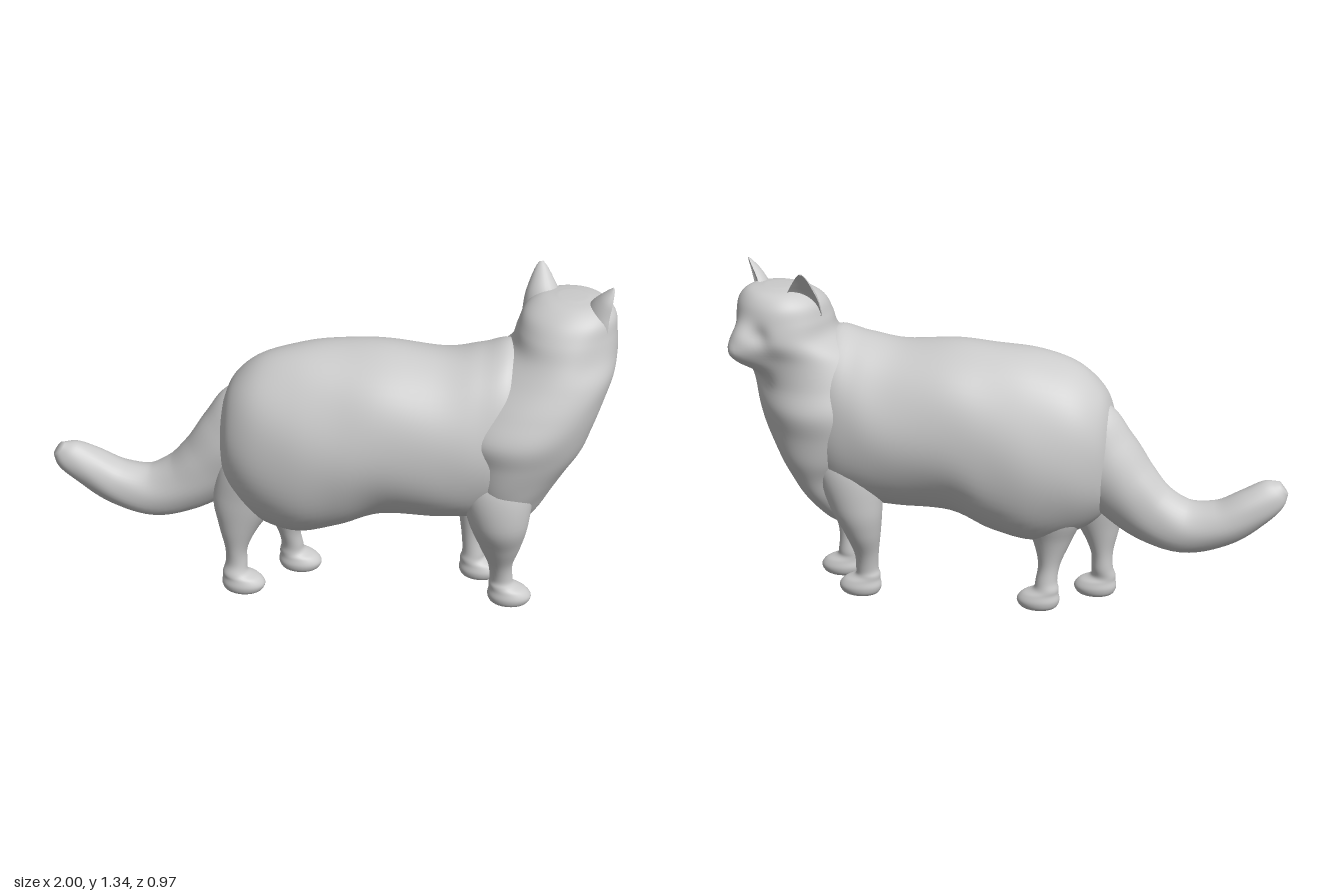
import * as THREE from 'three';

const V = (x, y, z) => new THREE.Vector3(x, y, z);
const FORWARD = V(0.947, 0, -0.322); // direction of the spine
const SIDE = V(0.322, 0, 0.947);     // across the body
const UP = V(0, 1, 0);
const DOWN = V(0, -1, 0);
const material = new THREE.MeshStandardMaterial({ color: 0xcccccc, side: THREE.DoubleSide });

function add(group, name, geometry) {
  const mesh = new THREE.Mesh(geometry, material);
  mesh.name = name;
  group.add(mesh);
}

// Smooth closed skin through elliptical rings [x, y, z, radiusA, radiusB].
// across: direction of radiusA; axis: fixed ring normal (else the path tangent);
// dent: hollows one side; fur: gentle unevenness; bumps: [centre, push, reach].
function loft(rings, across, { axis, dent = 0, fur = 0, bumps = [], sides = 40, steps = 6 } = {}) {
  const path = new THREE.CatmullRomCurve3(rings.map(r => V(r[0], r[1], r[2])), false, 'catmullrom');
  const radii = new THREE.CatmullRomCurve3(rings.map(r => V(r[3], r[4], 0)), false, 'catmullrom');
  const n = (rings.length - 1) * steps;
  const positions = [], index = [];
  for (let k = -1; k <= n + 1; k++) {
    const t = Math.min(Math.max(k / n, 0), 1);
    const cap = k < 0 || k > n ? 0 : 1;
    const c = path.getPoint(t), r = radii.getPoint(t);
    const T = axis ?? path.getTangent(t);
    const B = T.clone().cross(across).normalize();
    const A = B.clone().cross(T).normalize();
    for (let j = 0; j < sides; j++) {
      const q = j / sides * Math.PI * 2, s = Math.sin(q);
      const wave = cap * (1 + fur * (Math.sin(3 * q + 17 * t) + 0.6 * Math.sin(7 * q - 23 * t)));
      const a = Math.max(r.x, 0) * wave;
      const b = Math.max(r.y, 0) * wave * (s > 0 ? 1 - dent : 1);
      const p = c.clone().addScaledVector(A, a * Math.cos(q)).addScaledVector(B, b * s);
      for (const [centre, push, reach] of bumps) {
        p.addScaledVector(push, Math.exp(-p.distanceToSquared(centre) / (reach * reach)));
      }
      positions.push(p.x, p.y, p.z);
    }
  }
  for (let i = 0; i < n + 2; i++) {
    for (let j = 0; j < sides; j++) {
      const a = i * sides + j, b = i * sides + (j + 1) % sides;
      index.push(a, b, a + sides, b, b + sides, a + sides);
    }
  }
  const g = new THREE.BufferGeometry();
  g.setAttribute('position', new THREE.Float32BufferAttribute(positions, 3));
  g.setIndex(index);
  g.computeVertexNormals();
  return g;
}

// Paw rings below the ankle: height, forward shift, half width, half length
const PAW = [
  [0.088, -0.03, 0.048, 0.05], [0.066, -0.008, 0.055, 0.072], [0.04, 0, 0.061, 0.084],
  [0.016, 0, 0.055, 0.076], [0.003, 0, 0.04, 0.058], [0, 0, 0.02, 0.03]
];

function leg(rings, [x, y, z]) {
  const paw = PAW.map(([h, f, a, b]) => [x + f * FORWARD.x, y + h, z + f * FORWARD.z, a, b]);
  return loft([...rings, ...paw], SIDE, { axis: DOWN, sides: 32 });
}

export function createModel() {
  const cat = new THREE.Group();
  cat.name = 'cat';

  // Trunk: x, centre height, half width, half height along the spine
  const trunk = [
    [-0.385, 0.64, 0.04, 0.06], [-0.37, 0.64, 0.11, 0.17], [-0.33, 0.645, 0.18, 0.26],
    [-0.24, 0.65, 0.24, 0.335], [-0.1, 0.65, 0.28, 0.38], [0.05, 0.68, 0.29, 0.37],
    [0.2, 0.72, 0.29, 0.34], [0.4, 0.71, 0.285, 0.33], [0.53, 0.725, 0.27, 0.34],
    [0.64, 0.74, 0.235, 0.35], [0.74, 0.74, 0.16, 0.24], [0.8, 0.74, 0.05, 0.08]
  ].map(([x, y, a, b]) => [x, y, 0.1 - 0.36 * x, a, b]);
  add(cat, 'body', loft(trunk, SIDE, { axis: FORWARD, fur: 0.008, sides: 64 }));

  // Chest, ruff and skull in level rings, with muzzle, brow, cheeks and eye hollows
  add(cat, 'chestAndHead', loft([
    [0.6, 0.28, -0.11, 0.02, 0.05], [0.615, 0.34, -0.11, 0.07, 0.13], [0.64, 0.43, -0.12, 0.12, 0.19],
    [0.655, 0.52, -0.125, 0.155, 0.225], [0.66, 0.6, -0.13, 0.195, 0.25], [0.67, 0.7, -0.13, 0.24, 0.265],
    [0.68, 0.8, -0.13, 0.262, 0.28], [0.71, 0.9, -0.145, 0.262, 0.245], [0.755, 1.0, -0.185, 0.24, 0.215],
    [0.79, 1.08, -0.23, 0.195, 0.21], [0.795, 1.15, -0.24, 0.18, 0.19], [0.8, 1.21, -0.25, 0.165, 0.16],
    [0.805, 1.25, -0.26, 0.12, 0.11], [0.805, 1.263, -0.26, 0.05, 0.045]
  ], V(1, 0, 0), {
    axis: UP, fur: 0.007, sides: 80, bumps: [
      [V(0.865, 1.02, -0.4), V(0.02, 0, -0.085), 0.075],
      [V(0.85, 1.1, -0.43), V(0.004, 0, -0.018), 0.05],
      [V(0.78, 1.1, -0.44), V(0.004, 0, 0.02), 0.04],
      [V(0.93, 1.09, -0.38), V(-0.012, 0, 0.02), 0.04],
      [V(0.84, 0.93, -0.37), V(-0.005, 0, 0.02), 0.06]
    ]
  }));

  // Ears, hollowed towards the face
  add(cat, 'leftEar', loft([
    [0.91, 1.17, -0.24, 0.075, 0.06], [0.925, 1.23, -0.235, 0.06, 0.05],
    [0.945, 1.28, -0.23, 0.04, 0.034], [0.96, 1.318, -0.23, 0.018, 0.015], [0.966, 1.335, -0.23, 0.005, 0.004]
  ], V(0.75, 0, 0.66), { dent: 1.4, sides: 24 }));
  add(cat, 'rightEar', loft([
    [0.685, 1.17, -0.28, 0.075, 0.055], [0.675, 1.23, -0.295, 0.063, 0.05],
    [0.664, 1.28, -0.312, 0.042, 0.034], [0.656, 1.318, -0.325, 0.022, 0.016], [0.652, 1.337, -0.332, 0.007, 0.005]
  ], V(0.95, 0, -0.3), { dent: 1.4, sides: 24 }));

  // Tail, sweeping down and curling up to the tip
  add(cat, 'tail', loft([
    [-0.16, 0.8, 0.14, 0.04, 0.06], [-0.24, 0.73, 0.17, 0.11, 0.165], [-0.335, 0.62, 0.2, 0.125, 0.16],
    [-0.43, 0.51, 0.23, 0.115, 0.14], [-0.53, 0.42, 0.265, 0.105, 0.12], [-0.65, 0.37, 0.305, 0.1, 0.105],
    [-0.78, 0.395, 0.35, 0.09, 0.09], [-0.88, 0.46, 0.395, 0.075, 0.08], [-0.95, 0.515, 0.435, 0.055, 0.065],
    [-0.985, 0.545, 0.455, 0.025, 0.03]
  ], SIDE, { fur: 0.012 }));

  // Legs, from inside the trunk down to the paws
  add(cat, 'leftBackLeg', leg([
    [-0.15, 0.72, 0.1, 0.03, 0.04], [-0.17, 0.6, 0.08, 0.1, 0.14], [-0.185, 0.42, 0.085, 0.095, 0.13],
    [-0.185, 0.3, 0.1, 0.075, 0.08], [-0.18, 0.2, 0.09, 0.052, 0.045], [-0.175, 0.13, 0.075, 0.045, 0.042]
  ], [-0.147, 0.005, 0.06]));
  add(cat, 'rightBackLeg', leg([
    [-0.17, 0.74, 0.19, 0.03, 0.04], [-0.2, 0.61, 0.23, 0.11, 0.15], [-0.26, 0.43, 0.265, 0.092, 0.135],
    [-0.293, 0.3, 0.285, 0.07, 0.08], [-0.305, 0.2, 0.29, 0.052, 0.045], [-0.307, 0.13, 0.29, 0.046, 0.042]
  ], [-0.278, 0.001, 0.29]));
  add(cat, 'leftFrontLeg', leg([
    [0.56, 0.74, -0.2, 0.03, 0.04], [0.53, 0.6, -0.23, 0.095, 0.13], [0.5, 0.42, -0.235, 0.09, 0.105],
    [0.485, 0.3, -0.215, 0.075, 0.072], [0.485, 0.2, -0.19, 0.052, 0.048], [0.49, 0.13, -0.18, 0.045, 0.044]
  ], [0.518, 0.012, -0.188]));
  add(cat, 'rightFrontLeg', leg([
    [0.62, 0.76, -0.04, 0.04, 0.05], [0.635, 0.62, 0, 0.115, 0.14], [0.66, 0.43, 0.015, 0.105, 0.115],
    [0.66, 0.3, -0.015, 0.077, 0.08], [0.655, 0.2, -0.042, 0.053, 0.048], [0.655, 0.13, -0.056, 0.046, 0.044]
  ], [0.688, 0.012, -0.064]));
  return cat;
}
